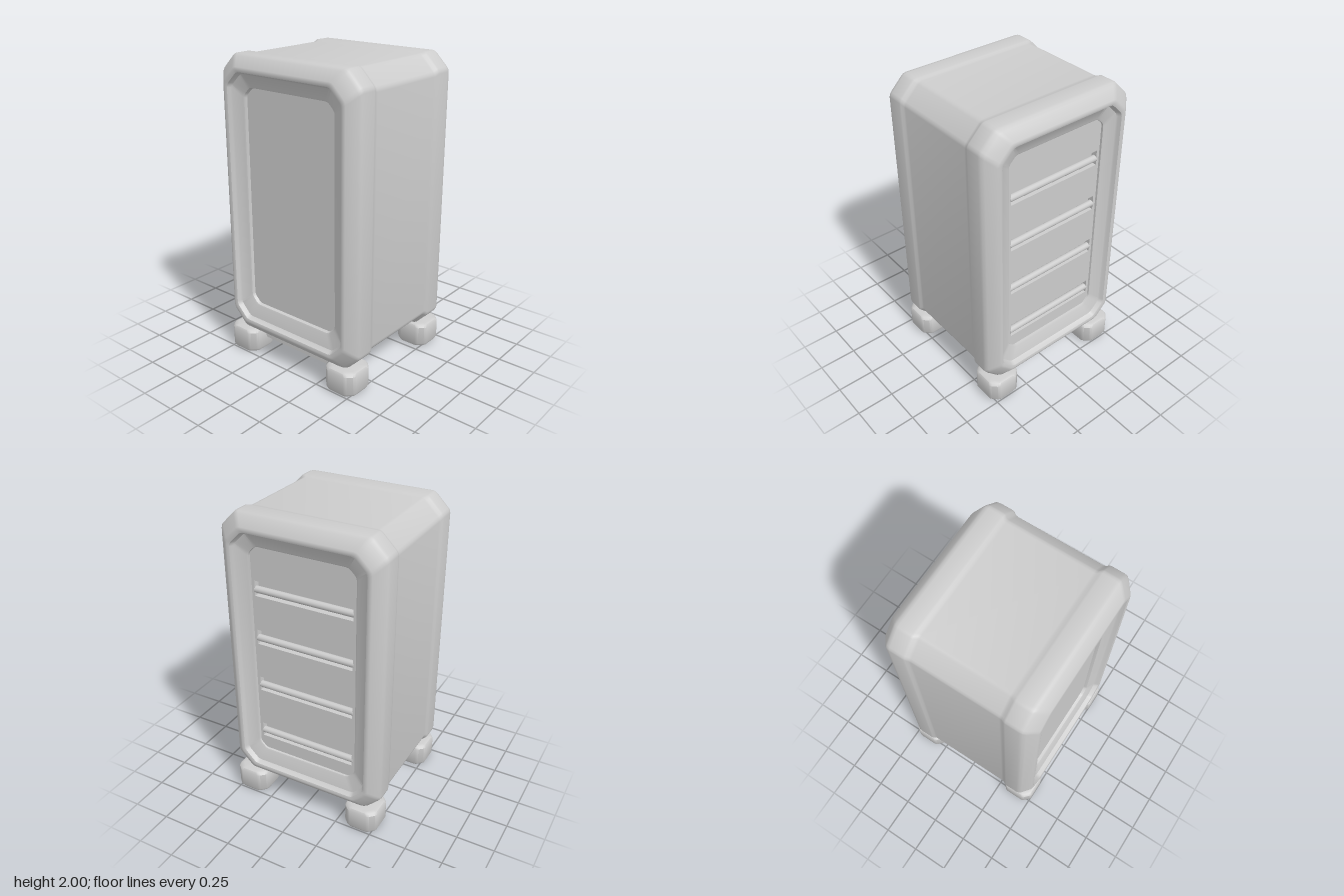
import * as THREE from 'three';
import { toCreasedNormals } from 'three/addons/utils/BufferGeometryUtils.js';

// Chamfered rectangle with softened corners, counter-clockwise seen from +z
function ring([hw, y0, y1, c, z], soft) {
  const oct = [
    [hw, y0 + c], [hw, y1 - c], [hw - c, y1], [c - hw, y1],
    [-hw, y1 - c], [-hw, y0 + c], [c - hw, y0], [hw - c, y0],
  ].map(([x, y]) => new THREE.Vector2(x, y));
  const points = [];
  oct.forEach((p, i) => {
    const toward = (q) => p.clone().add(q.clone().sub(p).setLength(soft));
    const a = toward(oct[(i + 7) % 8]);
    const b = toward(oct[(i + 1) % 8]);
    const curve = new THREE.QuadraticBezierCurve(a, p, b);
    for (const t of [0, 0.5, 1]) {
      const q = curve.getPoint(t);
      points.push([q.x, q.y, z]);
    }
  });
  return points;
}

// Skin through rings ordered from +z to -z, closed at both ends
function loft(sections, soft, crease = 0.7) {
  const rings = sections.map((s) => ring(s, soft));
  const n = rings[0].length;
  const last = rings.length - 1;
  const pos = rings.flat(2);
  const index = [];
  for (let i = 0; i < last; i++) {
    for (let j = 0; j < n; j++) {
      const k = (j + 1) % n;
      const a = i * n + j, b = i * n + k, c = a + n, d = b + n;
      index.push(a, c, d, a, d, b);
    }
  }
  for (const [r, front] of [[0, true], [last, false]]) {
    const [, y0, y1, , z] = sections[r];
    const centre = pos.length / 3;
    pos.push(0, (y0 + y1) / 2, z);
    for (let j = 0; j < n; j++) {
      const a = r * n + j, b = r * n + (j + 1) % n;
      index.push(centre, front ? a : b, front ? b : a);
    }
  }
  const g = new THREE.BufferGeometry();
  g.setAttribute('position', new THREE.Float32BufferAttribute(pos, 3));
  g.setIndex(index);
  return toCreasedNormals(g, crease);
}

export function createModel() {
  const model = new THREE.Group();
  model.name = 'cabinet';
  const grey = new THREE.MeshStandardMaterial({ color: 0xcccccc });
  grey.name = 'light grey';
  const add = (name, geometry, parent = model) => {
    const mesh = new THREE.Mesh(geometry, grey);
    mesh.name = name;
    parent.add(mesh);
    return mesh;
  };

  // Cabinet shell: recessed panel, bevelled frame, body (half width, bottom, top, chamfer, z)
  const half = [
    [0.35, 0.36, 1.8, 0.05, 0.42],
    [0.355, 0.355, 1.805, 0.05, 0.44],
    [0.365, 0.345, 1.815, 0.055, 0.445],
    [0.43, 0.265, 1.885, 0.075, 0.465],
    [0.437, 0.258, 1.892, 0.08, 0.475],
    [0.445, 0.25, 1.9, 0.085, 0.495],
    [0.46, 0.235, 1.915, 0.09, 0.5],
    [0.475, 0.22, 1.93, 0.095, 0.495],
    [0.525, 0.165, 1.985, 0.105, 0.447],
    [0.537, 0.153, 1.997, 0.105, 0.43],
    [0.54, 0.15, 2.0, 0.105, 0.41],
    [0.54, 0.15, 2.0, 0.105, 0.325],
    [0.537, 0.153, 1.997, 0.105, 0.312],
    [0.529, 0.158, 1.992, 0.11, 0.297],
    [0.527, 0.16, 1.99, 0.11, 0.28],
  ];
  const back = half.map(([w, b, t, c, z], i) => [w, b, t, c, i ? -z : -0.39]).reverse();
  add('shell', loft([...half, ...back], 0.018));

  // Back shelves: raised panels separated by grooves, each with a rail
  const shelves = new THREE.Group();
  shelves.name = 'backShelves';
  model.add(shelves);
  const grooves = [1.53, 1.2, 0.86, 0.5];
  const gap = 0.05;
  const edges = [1.8, ...grooves.flatMap((y) => [y + gap, y - gap]), 0.36];
  for (let i = 0; i < edges.length; i += 2) {
    const h = edges[i] - edges[i + 1];
    add('shelfPanel', new THREE.BoxGeometry(0.7, h, 0.04), shelves)
      .position.set(0, edges[i] - h / 2, -0.41);
  }
  for (const y of grooves) {
    const rail = add('shelfRail', new THREE.CylinderGeometry(0.022, 0.022, 0.67, 12), shelves);
    rail.rotation.z = Math.PI / 2;
    rail.position.set(0, y - 0.012, -0.412);
    for (const s of [-1, 1]) {
      add('grooveEnd', new THREE.BoxGeometry(0.02, gap * 2, 0.04), shelves)
        .position.set(s * 0.34, y, -0.41);
    }
  }

  // Lip under the front edge
  const lip = new THREE.Shape([
    [-0.26, 0.11], [0.26, 0.11], [0.3, 0.17], [-0.3, 0.17],
  ].map(([x, y]) => new THREE.Vector2(x, y)));
  add('frontLip', new THREE.ExtrudeGeometry(lip, { depth: 0.12, bevelEnabled: false }))
    .position.z = 0.29;

  // Four rounded feet
  const footGeometry = loft([
    [0.09, 0.165], [0.106, 0.16], [0.115, 0.145],
    [0.115, 0.025], [0.106, 0.006], [0.09, 0],
  ].map(([w, z]) => [w, -w, w, 0.045, z]), 0.012).rotateX(-Math.PI / 2);
  for (const x of [-1, 1]) {
    for (const z of [-1, 1]) {
      add(`${z > 0 ? 'front' : 'back'}${x > 0 ? 'Left' : 'Right'}Foot`, footGeometry)
        .position.set(x * 0.415, 0, z * 0.39);
    }
  }
  return model;
}
